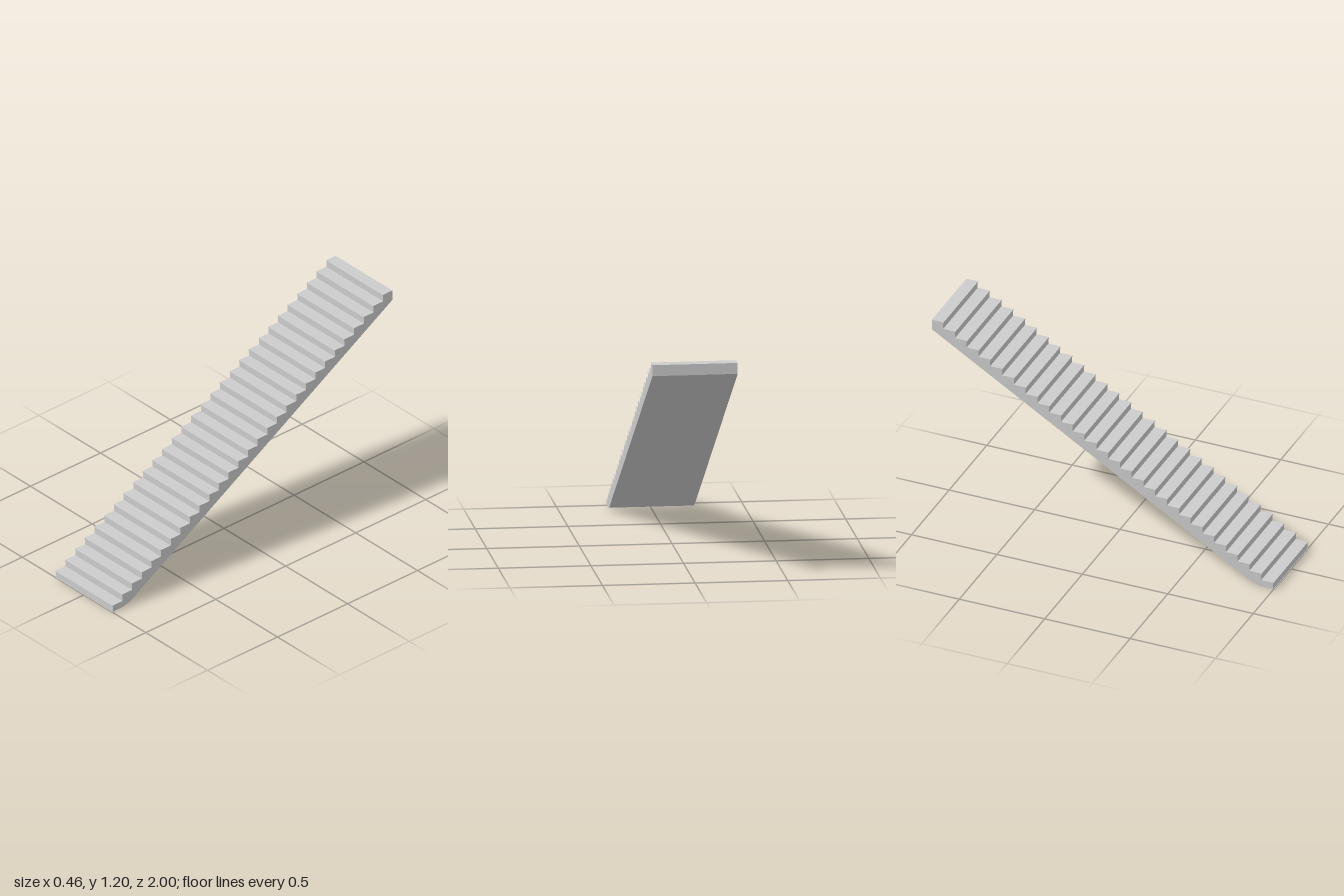
import * as THREE from 'three';

const STEPS = 29, WIDTH = 0.46, HEIGHT = 1.2;
const RISE = HEIGHT / STEPS, RUN = 2 / STEPS;
const SLAB = 0.006, NOSING = 0.003;

// Extrude a (forward, up) profile across the width, with forward along -z
function extrudeAcross(points, material, name) {
  const shape = new THREE.Shape(points.map(([d, y]) => new THREE.Vector2(d, y)));
  const geometry = new THREE.ExtrudeGeometry(shape, { depth: WIDTH, bevelEnabled: false });
  geometry.translate(-1, 0, -WIDTH / 2);
  geometry.rotateY(Math.PI / 2);
  const mesh = new THREE.Mesh(geometry, material);
  mesh.name = name;
  return mesh;
}

export function createModel() {
  const group = new THREE.Group();
  group.name = 'staircase';
  const material = new THREE.MeshStandardMaterial({ color: 0xcccccc, flatShading: true });

  // Solid flight: sloping underside with an eased foot, then the sawtooth of
  // risers, each ending in a thin tread edge that overhangs slightly
  const profile = [[0, 0], [0.08, 0.004], [0.115, 0.013], [0.145, 0.027], [2, 1.14], [2, HEIGHT]];
  for (let i = STEPS - 1; i >= 0; i--) {
    const front = i * RUN, top = (i + 1) * RISE;
    profile.push([front, top], [front, top - SLAB], [front + NOSING, top - SLAB]);
    profile.push([front + NOSING, i * RISE]);
  }
  group.add(extrudeAcross(profile, material, 'stairFlight'));
  return group;
}
